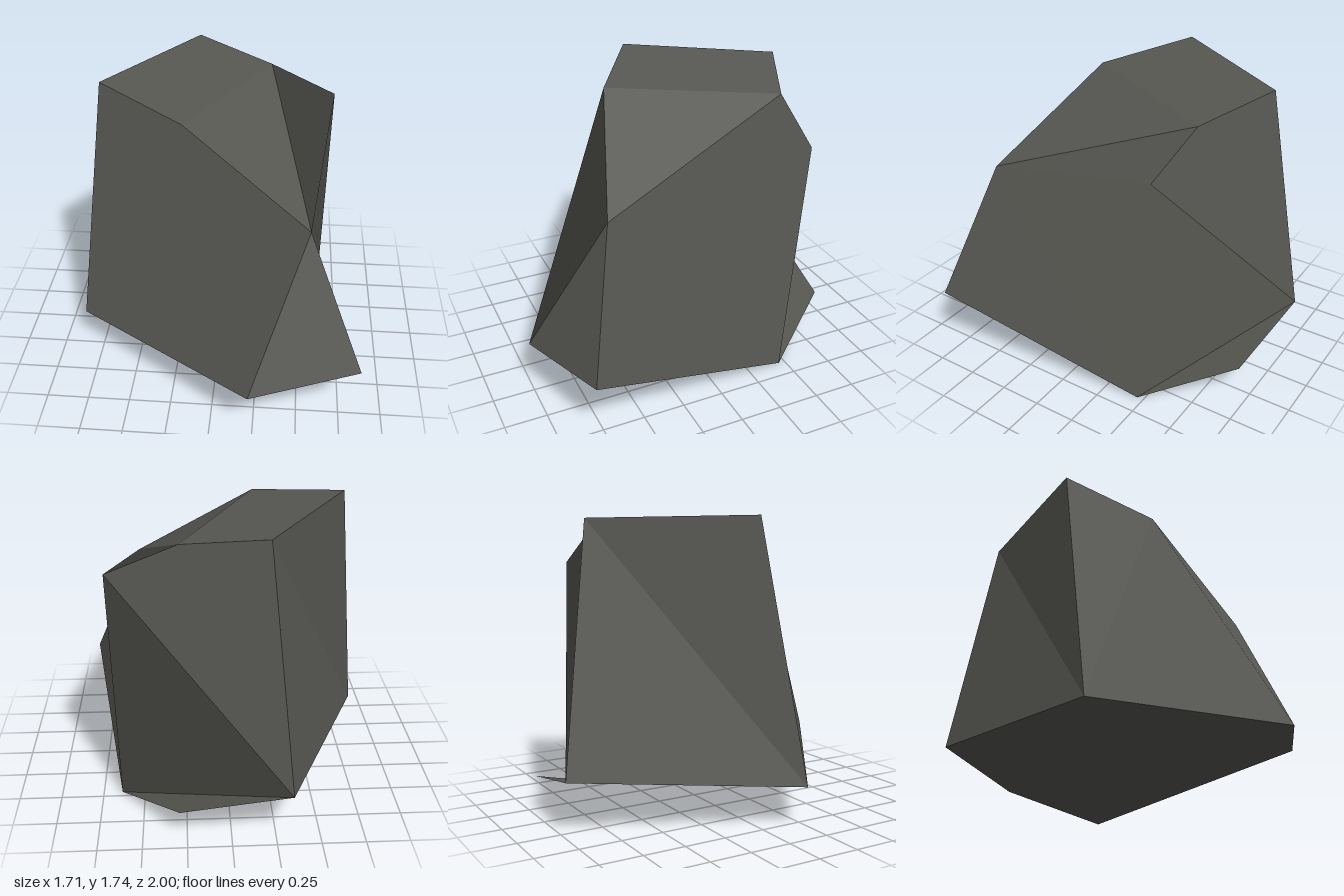
import * as THREE from 'three';

// Corners of the boulder
const P = {
  A: [-0.70, 1.736, 0.00], B: [-0.20, 1.72, -0.805], C: [-0.19, 1.655, 0.33],
  D: [0.267, 1.628, -0.59], E: [0.667, 1.455, -0.553], F: [0.53, 1.18, 0.60],
  G: [0.855, 0.383, 0.815], H: [0.22, 0.315, 1.00], I: [-0.855, 0.237, 0.23],
  J: [0.638, 0.00, -0.46], K: [-0.335, 0.315, -1.00], L: [0.29, 0.19, -0.937],
};

// Facets: each is a list of triangles sharing one flat shading normal
const FACETS = [
  ['HFC', 'IHC', 'ICA'],        // broad front
  ['HGF'],                      // front corner
  ['CFD'],                      // bevel under the top
  ['ACD', 'ADB'],               // top
  ['GJF', 'FJE', 'JKE', 'EDF'], // broad left side
  ['KBD', 'KDE'],               // back
  ['KIB'], ['IAB'],             // right side
  ['JLK'],                      // thin ledge at the back, seen from above
  ['GHJ'], ['JHI'], ['JIK', 'JKL'], // underside, with the ledge from below
];

function facetedGeometry() {
  const positions = [], normals = [];
  for (const tris of FACETS) {
    const normal = new THREE.Vector3();
    const corners = tris.map(t => [...t].map(k => new THREE.Vector3(...P[k])));
    // area-weighted mean normal of the facet
    for (const [a, b, c] of corners) {
      normal.add(b.clone().sub(a).cross(c.clone().sub(a)));
    }
    normal.normalize();
    for (const v of corners.flat()) {
      positions.push(v.x, v.y, v.z);
      normals.push(normal.x, normal.y, normal.z);
    }
  }
  const g = new THREE.BufferGeometry();
  g.setAttribute('position', new THREE.Float32BufferAttribute(positions, 3));
  g.setAttribute('normal', new THREE.Float32BufferAttribute(normals, 3));
  return g;
}

export function createModel() {
  const stone = new THREE.MeshStandardMaterial({ color: 0x575752 });
  stone.name = 'stone grey';
  const boulder = new THREE.Mesh(facetedGeometry(), stone);
  boulder.name = 'boulder';
  const group = new THREE.Group();
  group.name = 'rock';
  group.add(boulder);
  return group;
}
